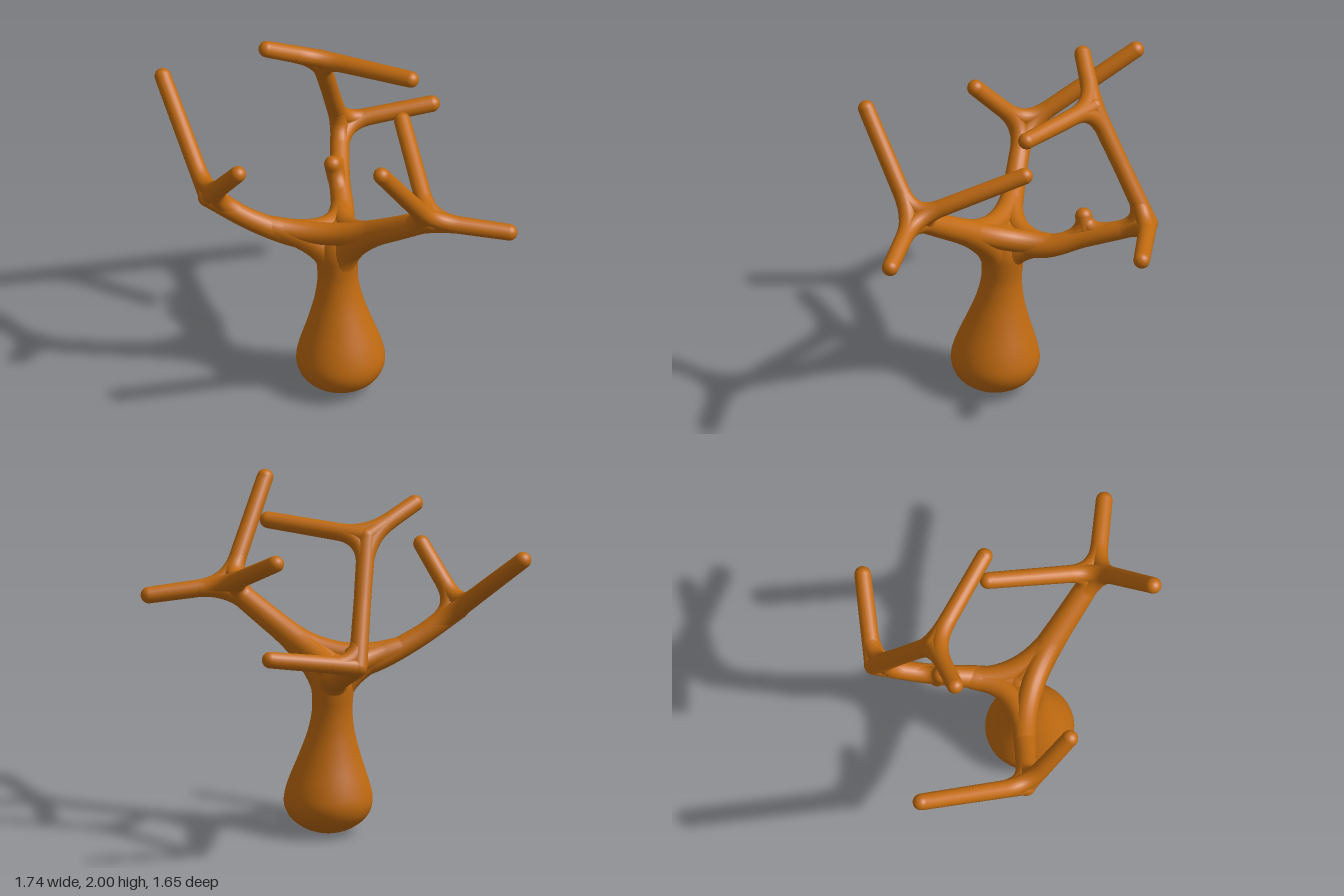
import * as THREE from 'three';
import { mergeVertices } from 'three/addons/utils/BufferGeometryUtils.js';

const V = (p) => new THREE.Vector3(...p);
const material = new THREE.MeshStandardMaterial({ color: 0xc06a10 });

function smooth(geometry) {
  geometry.deleteAttribute('uv');
  geometry.deleteAttribute('normal');
  const merged = mergeVertices(geometry, 1e-4);
  merged.computeVertexNormals();
  return merged;
}

function addMesh(parent, name, geometry) {
  const mesh = new THREE.Mesh(geometry, material);
  mesh.name = name;
  parent.add(mesh);
  return mesh;
}

// Tube whose radius follows the evenly spaced values in radii
function taperedTube(curve, radii, segments) {
  const sides = 20;
  const g = new THREE.TubeGeometry(curve, segments, 1, sides);
  const pos = g.attributes.position;
  const v = new THREE.Vector3();
  for (let i = 0; i <= segments; i++) {
    const u = i / segments;
    const centre = curve.getPointAt(u);
    const s = u * (radii.length - 1);
    const k = Math.min(Math.floor(s), radii.length - 2);
    const r = THREE.MathUtils.lerp(radii[k], radii[k + 1], s - k);
    for (let j = 0; j <= sides; j++) {
      const n = i * (sides + 1) + j;
      v.fromBufferAttribute(pos, n).sub(centre).multiplyScalar(r).add(centre);
      pos.setXYZ(n, v.x, v.y, v.z);
    }
  }
  return smooth(g);
}

// Limb through the given points, closed by a round end
function limb(parent, name, points, radii) {
  const group = new THREE.Group();
  group.name = name;
  const curve = new THREE.CatmullRomCurve3(points.map(V), false, 'centripetal');
  addMesh(group, name + 'Shaft', taperedTube(curve, radii, 24));
  const end = addMesh(group, name + 'End', new THREE.SphereGeometry(radii[radii.length - 1], 20, 14));
  end.position.copy(V(points[points.length - 1]));
  parent.add(group);
}

// Rounded fork: curved fillets between every pair of arms [point, radius]
function fork(parent, name, node, arms) {
  const group = new THREE.Group();
  group.name = name;
  for (let i = 0; i < arms.length; i++) {
    for (let j = i + 1; j < arms.length; j++) {
      const curve = new THREE.QuadraticBezierCurve3(V(arms[i][0]), V(node), V(arms[j][0]));
      addMesh(group, name + 'Fillet', taperedTube(curve, [arms[i][1] * 0.98, arms[j][1] * 0.98], 16));
    }
  }
  parent.add(group);
}

// Straight twigs from a node, blended with each other and with the parent limb
function twigs(parent, name, node, tips, parentPoint, parentRadius) {
  const toward = (p, d) => V(node).add(V(p).sub(V(node)).setLength(d)).toArray();
  tips.forEach((tip, i) => limb(parent, name + 'Twig' + (i + 1), [node, tip], [0.05, 0.048, 0.046]));
  fork(parent, name + 'Fork', node, [
    [toward(parentPoint, 0.18), parentRadius],
    ...tips.map((tip) => [toward(tip, 0.17), 0.05]),
  ]);
}

export function createModel() {
  const model = new THREE.Group();
  model.name = 'bareTree';

  // Bulbous trunk, leaning slightly back
  const profile = new THREE.SplineCurve([
    [0, 0.005], [0.08, 0.015], [0.15, 0.045], [0.215, 0.1], [0.245, 0.18], [0.228, 0.28],
    [0.172, 0.44], [0.13, 0.58], [0.112, 0.7], [0.115, 0.8], [0.118, 0.88], [0.1, 0.96],
    [0.06, 1.01], [0, 1.03],
  ].map(([r, y]) => new THREE.Vector2(r, y))).getPoints(52);
  profile.forEach((p) => { p.x = Math.max(p.x, 0); });
  profile[0].x = profile[profile.length - 1].x = 0;
  const trunk = new THREE.LatheGeometry(profile, 36);
  const pos = trunk.attributes.position;
  for (let i = 0; i < pos.count; i++) {
    const lean = THREE.MathUtils.smoothstep(pos.getY(i), 0.2, 0.85);
    pos.setX(i, pos.getX(i) + 0.01 * (1 - lean));
    pos.setZ(i, pos.getZ(i) + THREE.MathUtils.lerp(0.07, 0.03, lean));
  }
  addMesh(model, 'trunk', smooth(trunk));

  // Three main limbs
  const crown = [0, 0.94, 0.03];
  const rightNode = [-0.7, 1.24, -0.1];
  const frontNode = [0.41, 1.34, 0.53];
  const backNode = [0.19, 1.16, -0.77];
  const topNode = [0.01, 1.81, -0.47];
  limb(model, 'rightLimb', [crown, [-0.2, 0.965, -0.01], [-0.45, 1.075, -0.05], rightNode],
    [0.075, 0.065, 0.058, 0.056]);
  limb(model, 'frontLimb', [crown, [0.22, 1.15, 0.3], frontNode], [0.085, 0.07, 0.06]);
  limb(model, 'backLimb', [crown, [0.08, 0.945, -0.2], [0.11, 1.02, -0.41], [0.15, 1.09, -0.6], backNode],
    [0.08, 0.066, 0.058, 0.054, 0.052]);
  fork(model, 'crownFork', crown, [
    [[0, 0.72, 0.042], 0.105],
    [[-0.38, 1.04, -0.04], 0.06],
    [[0.21, 1.14, 0.29], 0.07],
    [[0.085, 0.955, -0.25], 0.064],
  ]);

  // Upper limb rising from the end of the back limb
  limb(model, 'upperLimb', [backNode, topNode], [0.052, 0.048, 0.052]);

  // Twigs at the limb ends
  twigs(model, 'right', rightNode, [[-0.82, 1.65, -0.715], [-0.59, 1.555, 0.17]],
    [-0.45, 1.08, -0.05], 0.056);
  twigs(model, 'front', frontNode, [[0.83, 1.29, 0.66], [0.085, 1.855, 0.78], [0.39, 1.6, -0.085]],
    [0.22, 1.15, 0.3], 0.062);
  twigs(model, 'back', backNode, [[0.695, 1.24, -0.725]], [0.15, 1.09, -0.6], 0.053);
  twigs(model, 'top', topNode, [[-0.3, 1.955, -0.415], [0.44, 1.86, -0.095]], backNode, 0.049);
  fork(model, 'upperLimbFork', backNode, [
    [[0.15, 1.09, -0.6], 0.053],
    [[0.145, 1.32, -0.695], 0.048],
    [[0.36, 1.187, -0.755], 0.047],
  ]);

  // Short stub on the back limb
  const stubBase = [0.1, 1.03, -0.43];
  const stubTip = [0.07, 1.135, -0.415];
  limb(model, 'stub', [stubBase, stubTip], [0.055, 0.047]);
  fork(model, 'stubFork', stubBase, [
    [[0.095, 0.975, -0.29], 0.058],
    [[0.15, 1.09, -0.6], 0.052],
    [stubTip, 0.046],
  ]);

  return model;
}
